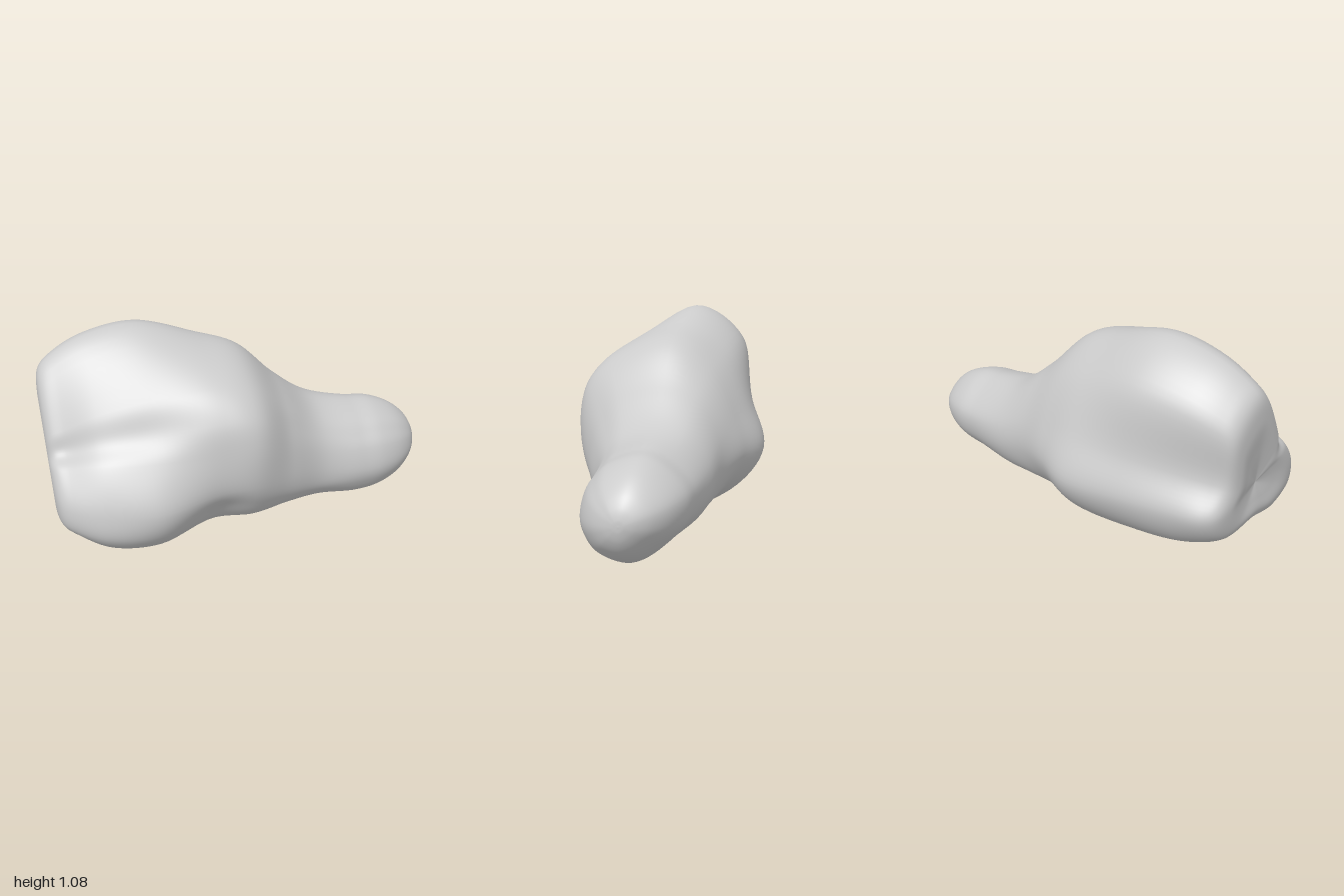
import * as THREE from 'three';

// Directions of the section radii, in degrees from +z towards +y
const ANGLES = [-8, 20, 38, 58, 97, 125, 160, 188, 220, 270, 310, 334];

// Lobed sections: x, centre z, centre y, then one radius per direction
const SECTIONS = [
  [-0.9, 0, 0.42, [0.39, 0.3, 0.25, 0.3, 0.56, 0.49, 0.31, 0.38, 0.34, 0.23, 0.34, 0.42]],
  [-0.75, 0, 0.42, [0.46, 0.38, 0.34, 0.39, 0.63, 0.56, 0.37, 0.42, 0.4, 0.34, 0.45, 0.5]],
  [-0.5, 0, 0.42, [0.51, 0.43, 0.41, 0.47, 0.665, 0.6, 0.44, 0.475, 0.44, 0.39, 0.48, 0.52]],
  [-0.2, 0, 0.42, [0.43, 0.45, 0.49, 0.52, 0.58, 0.53, 0.47, 0.515, 0.455, 0.42, 0.4, 0.4]],
  [0, 0, 0.42, [0.42, 0.45, 0.48, 0.48, 0.505, 0.46, 0.42, 0.445, 0.41, 0.4, 0.41, 0.41]],
  [0.2, -0.02, 0.36, [0.345, 0.34, 0.345, 0.355, 0.37, 0.37, 0.35, 0.35, 0.345, 0.335, 0.34, 0.35]],
  [0.4, -0.05, 0.29, [0.28, 0.27, 0.27, 0.27, 0.285, 0.3, 0.3, 0.29, 0.27, 0.265, 0.28, 0.29]],
];
const TAIL_RADII = [0.265, 0.25, 0.243, 0.245, 0.26, 0.26, 0.272, 0.25, 0.22, 0.255, 0.272, 0.27];

// Wide end: x and scale of the first section, curling in to a shallow hollow
const WIDE_END = [[-0.953, 0], [-0.973, 0.35], [-0.983, 0.65], [-0.96, 0.87]];

// Smooth closed loop of points around one section; lean tilts its top towards -x
function ring([x, cz, cy, radii, lean = 0], count) {
  const pts = radii.map((r, k) => {
    const a = THREE.MathUtils.degToRad(ANGLES[k]);
    const up = r * Math.sin(a);
    return new THREE.Vector3(x - lean * up, cy + up, cz + r * Math.cos(a));
  });
  if (Math.max(...radii) === 0) return Array.from({ length: count }, () => pts[0].clone());
  const curve = new THREE.CatmullRomCurve3(pts, true);
  return Array.from({ length: count }, (_, j) => curve.getPoint(j / count));
}

// Skin running smoothly through all the sections
function loft(sections, around, along) {
  const rings = sections.map((s) => ring(s, around));
  const columns = Array.from({ length: around }, (_, j) =>
    new THREE.CatmullRomCurve3(rings.map((r) => r[j])));
  const positions = [];
  const index = [];
  for (let i = 0; i <= along; i++) {
    for (let j = 0; j < around; j++) {
      positions.push(...columns[j].getPoint(i / along).toArray());
      if (i === along) continue;
      const k = (j + 1) % around;
      const a = i * around + j, b = a + around;
      const c = i * around + k, d = c + around;
      index.push(a, b, c, b, d, c);
    }
  }
  const geometry = new THREE.BufferGeometry();
  geometry.setAttribute('position', new THREE.Float32BufferAttribute(positions, 3));
  geometry.setIndex(index);
  geometry.computeVertexNormals();
  return geometry;
}

export function createModel() {
  const group = new THREE.Group();

  // Wide end, from the hollow out to the first lobed section
  const [, cz, cy, radii] = SECTIONS[0];
  const wideEnd = WIDE_END.map(([x, s]) => [x, cz, cy, radii.map((r) => r * s), 0.04]);

  // Narrow end, closing like half an ellipsoid
  const narrowEnd = [0, 20, 40, 58, 72, 83, 90].map((deg) => {
    const a = THREE.MathUtils.degToRad(deg);
    const scale = deg === 90 ? 0 : Math.cos(a);
    const x = 0.62 + 0.38 * Math.sin(a);
    return [x, -0.055, 0.262, TAIL_RADII.map((r) => r * scale)];
  });

  const body = new THREE.Mesh(
    loft([...wideEnd, ...SECTIONS, ...narrowEnd], 96, 136),
    new THREE.MeshStandardMaterial({ color: 0xcccccc }),
  );
  body.name = 'lobedBoulder';
  group.add(body);
  return group;
}
